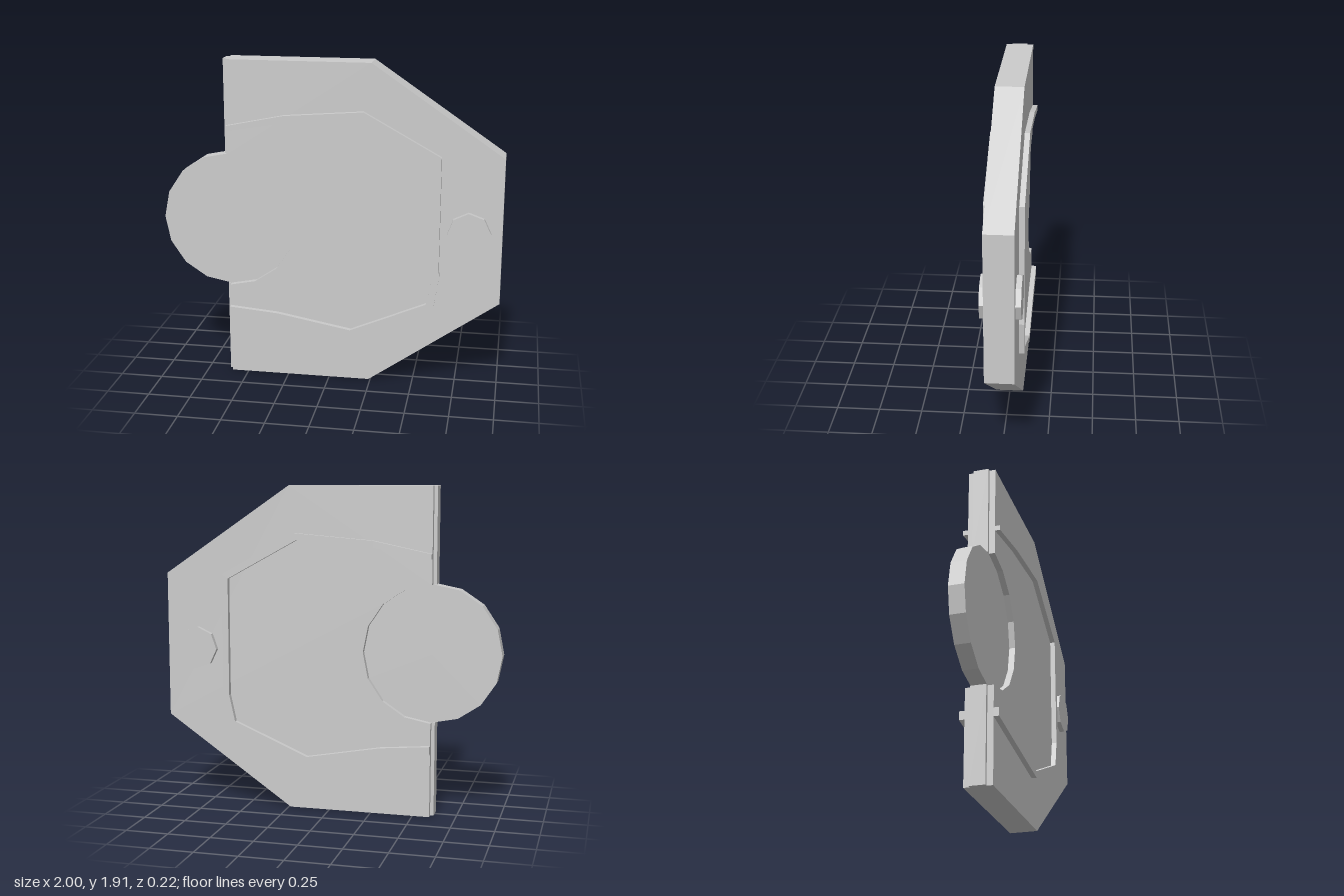
import * as THREE from 'three';

const HALF = 0.08;   // half thickness of the plate
const RAISED = 0.11; // height of the raised details
const EDGE = -0.6;   // straight edge of the plate
const MID = 0.955;   // height of the disc and studs
const RADIUS = 0.4;

export function createModel() {
  const group = new THREE.Group();
  const material = new THREE.MeshStandardMaterial({ color: 0xcccccc, flatShading: true });

  const add = (name, geometry) => {
    const mesh = new THREE.Mesh(geometry, material);
    mesh.name = name;
    group.add(mesh);
    return mesh;
  };
  const slab = (points, z0, z1) => {
    const shape = new THREE.Shape(points.map(([x, y]) => new THREE.Vector2(x, y)));
    return new THREE.ExtrudeGeometry(shape, { depth: z1 - z0, bevelEnabled: false }).translate(0, 0, z0);
  };

  // Plate with a half-round notch that holds the disc
  const outline = [[EDGE, 0], [0.24, 0], [1, 0.53], [1, 1.39], [0.24, 1.91], [EDGE, 1.91]];
  for (let i = 0; i <= 8; i++) {
    const a = Math.PI / 2 - (i * Math.PI) / 8;
    outline.push([EDGE + RADIUS * Math.cos(a), MID + RADIUS * Math.sin(a)]);
  }
  add('plate', slab(outline, -HALF, HALF));

  // Sixteen-sided disc, thinner than the plate
  const disc = add('disc', new THREE.CylinderGeometry(RADIUS, RADIUS, 0.09, 16).rotateX(Math.PI / 2));
  disc.position.set(EDGE, MID, 0);

  // Narrow tongue along the straight edge, above and below the disc
  const tongueHeight = MID - RADIUS;
  for (const [name, y] of [['lowerTongue', tongueHeight / 2], ['upperTongue', 1.91 - tongueHeight / 2]]) {
    add(name, new THREE.BoxGeometry(0.04, tongueHeight, 0.09)).position.set(EDGE, y, 0);
  }

  // Raised rim on both faces
  const rim = [
    [EDGE, 1.53], [-0.26, 1.6], [0.2, 1.636], [0.645, 1.39], [0.645, 0.72], [0.65, 0.69],
    [0.62, 0.49], [0.13, 0.28], [EDGE, 0.375],
    [EDGE, 0.425], [-0.31, 0.4], [0.13, 0.32], [0.575, 0.51], [0.61, 0.67],
    [0.61, 1.365], [0.19, 1.597], [-0.26, 1.56], [EDGE, 1.5],
  ];
  add('frontRim', slab(rim, HALF, RAISED));
  add('backRim', slab(rim, -RAISED, -HALF));

  // Eight-sided stud standing out on both faces
  const stud = add('stud', new THREE.CylinderGeometry(0.125, 0.125, 2 * RAISED, 8).rotateX(Math.PI / 2));
  stud.rotation.z = 0.05;
  stud.position.set(0.812, 0.948, 0);

  return group;
}
